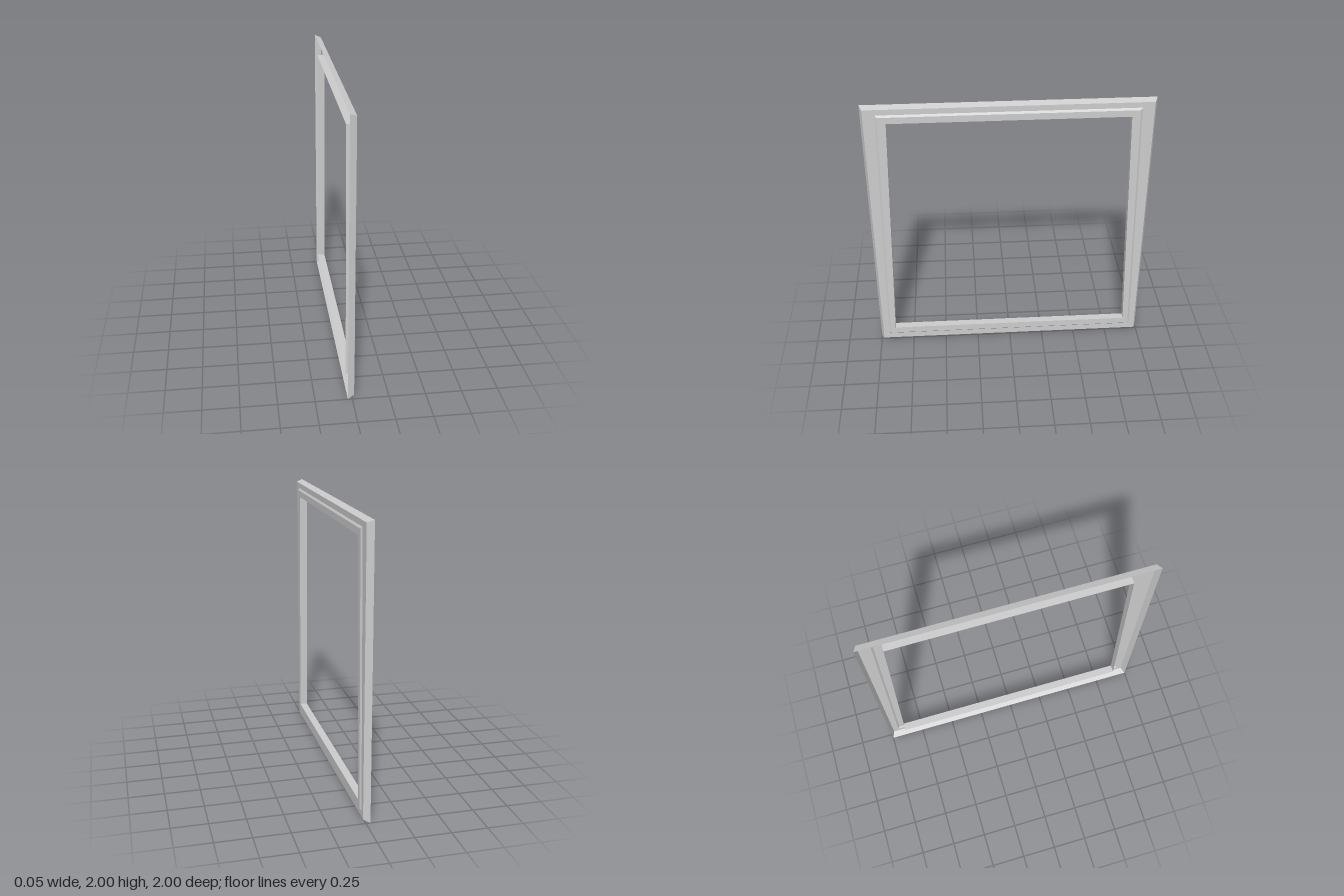
import * as THREE from 'three';

// One loop of the frame: x depth, bottom / top heights, half widths at bottom / top
const ring = (x, y0, y1, w0, w1) => [[x, y0, w0], [x, y0, -w0], [x, y1, -w1], [x, y1, w1]];

// Cross-section loops, from the outer back edge over the face to the inner back edge
const loops = {
  outerBack: ring(-0.03, 0, 2, 1, 1),
  outerFront: ring(0.015, 0.02, 1.983, 0.98, 0.98),
  stepFoot: ring(0.015, 0.065, 1.943, 0.94, 0.897),
  stepTop: ring(0.025, 0.076, 1.929, 0.926, 0.884),
  innerFront: ring(0.025, 0.125, 1.882, 0.885, 0.827),
  innerBack: ring(-0.03, 0.125, 1.882, 0.885, 0.827),
};

// Flat-sided band joining two four-cornered loops
function band(a, b) {
  const pos = [];
  for (let i = 0; i < 4; i++) {
    const j = (i + 1) % 4;
    pos.push(...a[i], ...a[j], ...b[j], ...a[i], ...b[j], ...b[i]);
  }
  const geometry = new THREE.BufferGeometry();
  geometry.setAttribute('position', new THREE.Float32BufferAttribute(pos, 3));
  geometry.computeVertexNormals();
  return geometry;
}

export function createModel() {
  const group = new THREE.Group();
  group.name = 'windowFrame';
  // The shell is thin and open at the back
  const material = new THREE.MeshStandardMaterial({
    color: 0xcccccc, flatShading: true, side: THREE.DoubleSide,
  });
  const parts = [
    ['outerEdge', 'outerBack', 'outerFront'],
    ['outerFace', 'outerFront', 'stepFoot'],
    ['raisedStep', 'stepFoot', 'stepTop'],
    ['innerFace', 'stepTop', 'innerFront'],
    ['openingLining', 'innerFront', 'innerBack'],
  ];
  for (const [name, from, to] of parts) {
    const mesh = new THREE.Mesh(band(loops[from], loops[to]), material);
    mesh.name = name;
    group.add(mesh);
  }
  return group;
}
